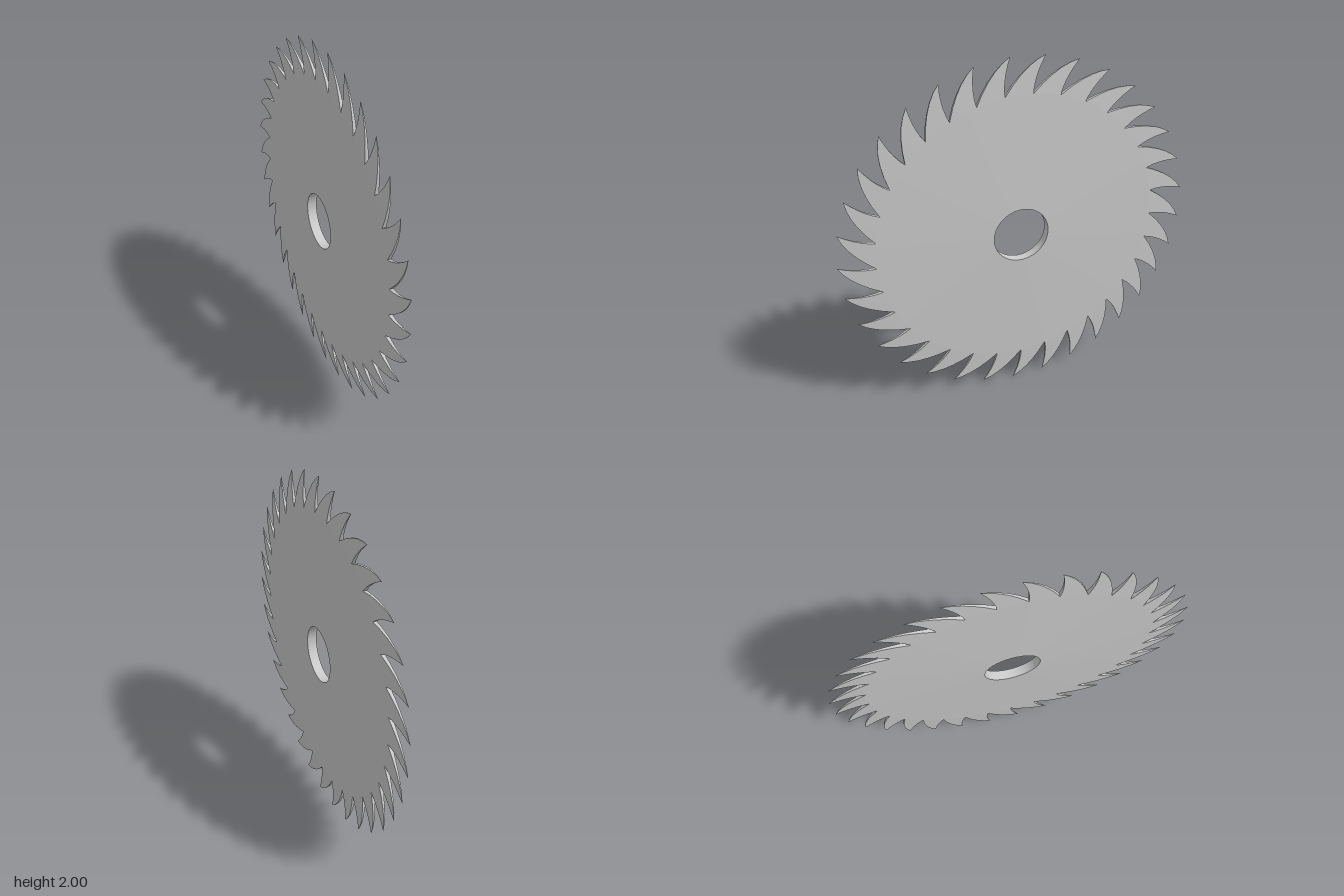
import * as THREE from 'three';
import { mergeGeometries, toCreasedNormals } from 'three/addons/utils/BufferGeometryUtils.js';

const TEETH = 33;
const PITCH = (Math.PI * 2) / TEETH;
const HOLE = 0.157, ROOT = 0.8;
const HUB_HALF = 0.027, ROOT_HALF = 0.0105;
const TIP_ANGLE = THREE.MathUtils.degToRad(-2.87); // clockwise from the top
const HOOK = THREE.MathUtils.degToRad(3); // tip leads its gullet by this much

// Half thickness of the blade: tapers from the hole to sharp tips
function halfThickness(r) {
  return r < ROOT
    ? THREE.MathUtils.mapLinear(r, HOLE, ROOT, HUB_HALF, ROOT_HALF)
    : Math.max(0.0008, THREE.MathUtils.mapLinear(r, ROOT, 1, ROOT_HALF, 0.0008));
}

const polar = (r, a) => new THREE.Vector2(r * Math.sin(a), r * Math.cos(a));

// One hooked tooth, tip straight up, leaning clockwise
function toothGeometry() {
  const front = polar(ROOT, -HOOK);
  const middle = polar(ROOT, -HOOK - PITCH / 2);
  const back = polar(ROOT, -HOOK - PITCH);
  const shape = new THREE.Shape();
  shape.moveTo(back.x, back.y);
  shape.lineTo(middle.x, middle.y);
  shape.lineTo(front.x, front.y);
  shape.quadraticCurveTo(-0.047, 0.89, 0, 1);
  shape.quadraticCurveTo(-0.108, 0.945, back.x, back.y);

  const geometry = new THREE.ExtrudeGeometry(shape, { depth: 1, bevelEnabled: false, curveSegments: 5 });
  const p = geometry.attributes.position;
  for (let i = 0; i < p.count; i++) {
    const half = halfThickness(Math.hypot(p.getX(i), p.getY(i)));
    p.setZ(i, p.getZ(i) > 0.5 ? half : -half);
  }
  geometry.computeVertexNormals();
  return geometry;
}

export function createModel() {
  const group = new THREE.Group();
  group.name = 'circularSawBlade';
  const material = new THREE.MeshStandardMaterial({ color: 0xcccccc });

  // Tapered disc with the arbor hole, rim vertices lined up with the gullets
  const profile = [
    [ROOT, ROOT_HALF], [HOLE, HUB_HALF], [HOLE, -HUB_HALF], [ROOT, -ROOT_HALF],
  ].map(([r, y]) => new THREE.Vector2(r, y));
  const phiStart = -Math.PI / 2 - (TIP_ANGLE - HOOK);
  const discGeometry = new THREE.LatheGeometry(profile, TEETH * 2, phiStart);
  discGeometry.rotateZ(-Math.PI / 2);
  const disc = new THREE.Mesh(toCreasedNormals(discGeometry, 0.5), material);
  disc.name = 'bladeDisc';

  // Ring of teeth
  const tooth = toothGeometry();
  const ring = [];
  for (let i = 0; i < TEETH; i++) {
    ring.push(tooth.clone().rotateZ(-(TIP_ANGLE + i * PITCH)));
  }
  const teeth = new THREE.Mesh(mergeGeometries(ring).rotateY(Math.PI / 2), material);
  teeth.name = 'teeth';

  for (const mesh of [disc, teeth]) {
    mesh.position.y = 1;
    group.add(mesh);
  }
  return group;
}
